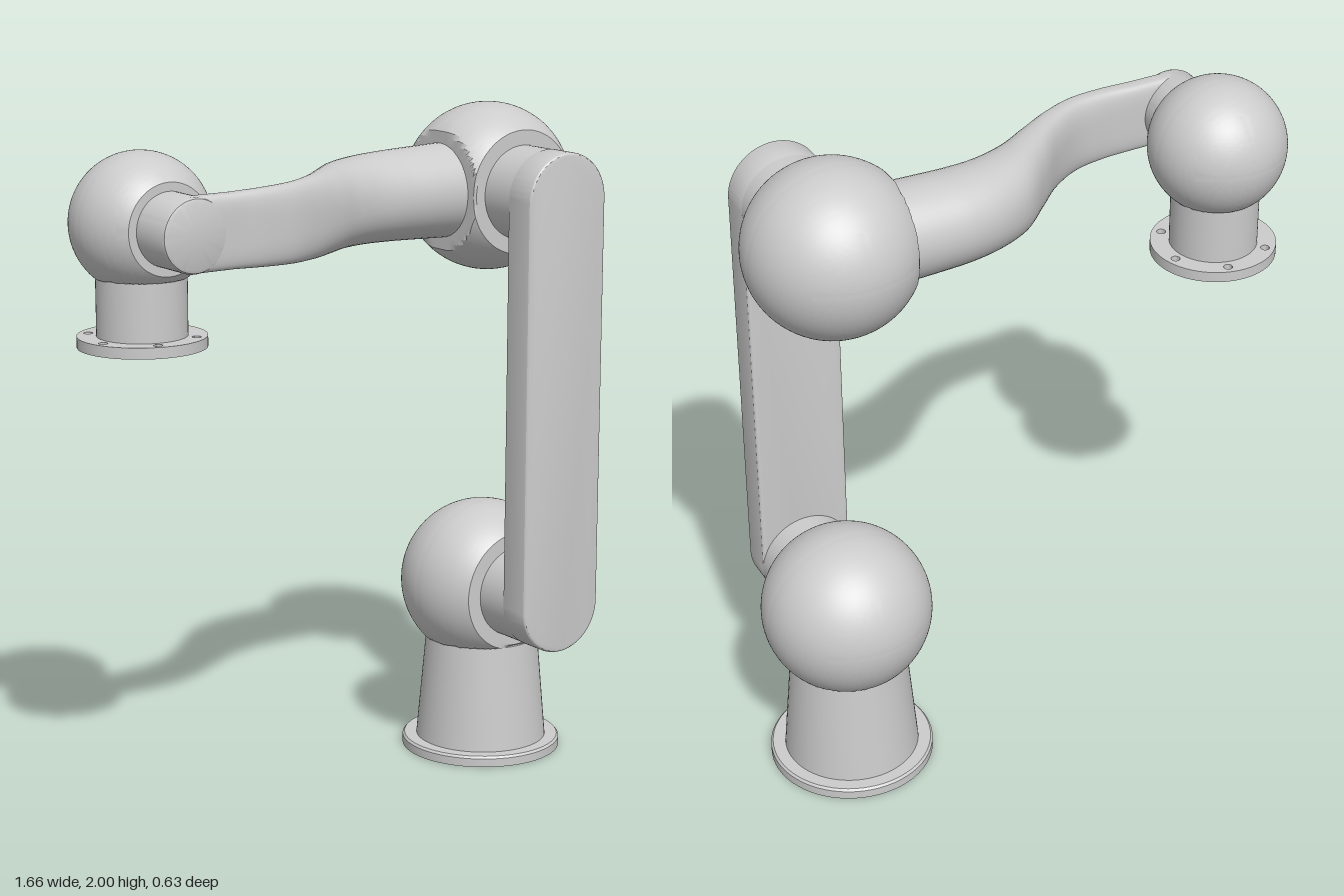
import * as THREE from 'three';
import { toCreasedNormals } from 'three/addons/utils/BufferGeometryUtils.js';

const material = new THREE.MeshStandardMaterial({ color: 0xcccccc });
const X = 0.575, WRIST_X = -0.632, Z = -0.066;
const SHOULDER_Y = 0.53, ELBOW_Y = 1.75;

function part(parent, name, geometry, x = 0, y = 0, z = 0) {
  const mesh = new THREE.Mesh(geometry, material);
  mesh.name = name;
  mesh.position.set(x, y, z);
  parent.add(mesh);
  return mesh;
}

// Turned part about y from [radius, height] pairs, listed from the bottom up
function turned(points, segments = 64) {
  const profile = points.map(([r, y]) => new THREE.Vector2(r, y));
  return toCreasedNormals(new THREE.LatheGeometry(profile, segments), 0.6);
}

// Ball joint cut flat on the given sides; its pole lies on +z so the front rim is crisp
function cutBall(radius, rings, cuts) {
  const geometry = new THREE.SphereGeometry(radius, 96, rings).rotateX(Math.PI / 2);
  const pos = geometry.attributes.position, p = new THREE.Vector3();
  for (let i = 0; i < pos.count; i++) {
    p.fromBufferAttribute(pos, i);
    for (const [normal, distance] of cuts) {
      const d = p.dot(normal);
      if (d > distance) p.multiplyScalar(distance / d);
    }
    pos.setXYZ(i, p.x, p.y, p.z);
  }
  return toCreasedNormals(geometry, 0.3);
}

// Upright link: a rounded-end bar with softened edges
function linkBar() {
  const r = 0.13, half = (ELBOW_Y - SHOULDER_Y) / 2;
  const shape = new THREE.Shape();
  shape.absarc(0, half, r, 0, Math.PI, false);
  shape.absarc(0, -half, r, Math.PI, 2 * Math.PI, false);
  shape.closePath();
  const geometry = new THREE.ExtrudeGeometry(shape, {
    depth: 0.085, bevelThickness: 0.01, bevelSize: 0.01, bevelSegments: 3, curveSegments: 32,
  });
  return toCreasedNormals(geometry, 0.5);
}

// Forearm: cross-sections along x, round at the elbow and flat at the wrist
function forearm() {
  // x, back z, front z
  const stations = [
    [0.45, -0.21, 0.07], [0.3, -0.21, 0.068], [0.2, -0.204, 0.066], [0.1, -0.18, 0.072],
    [0, -0.13, 0.1], [-0.1, -0.032, 0.147], [-0.2, 0.07, 0.19], [-0.3, 0.135, 0.22],
    [-0.4, 0.157, 0.228], [-0.5, 0.16, 0.226], [WRIST_X, 0.16, 0.226],
  ];
  const curve = new THREE.CatmullRomCurve3(stations.map((s) => new THREE.Vector3(...s)));
  const rows = 80, cols = 48, positions = [], index = [];
  const power = (v, e) => Math.sign(v) * Math.abs(v) ** e;
  for (let i = 0; i <= rows; i++) {
    const s = curve.getPoint(i / rows);
    const t = THREE.MathUtils.clamp((0.4 - s.x) / 0.9, 0, 1);
    const halfY = THREE.MathUtils.lerp(0.14, 0.105, t);
    const e = THREE.MathUtils.lerp(1, 0.5, t * t);
    for (let j = 0; j < cols; j++) {
      const a = (j / cols) * 2 * Math.PI;
      positions.push(s.x, ELBOW_Y + halfY * power(Math.cos(a), e),
        (s.y + s.z) / 2 + ((s.z - s.y) / 2) * power(Math.sin(a), e));
      if (i === rows) continue;
      const p = i * cols + j, q = i * cols + ((j + 1) % cols);
      index.push(p, p + cols, q, p + cols, q + cols, q);
    }
  }
  const geometry = new THREE.BufferGeometry();
  geometry.setAttribute('position', new THREE.Float32BufferAttribute(positions, 3));
  geometry.setIndex(index);
  geometry.computeVertexNormals();
  return geometry;
}

// Tool flange: a thin disc with a ring of bolt holes
function boltFlange(radius, height) {
  const shape = new THREE.Shape().absarc(0, 0, radius, 0, 2 * Math.PI, false);
  for (let i = 0; i < 6; i++) {
    const a = (i / 6) * 2 * Math.PI + Math.PI / 12;
    shape.holes.push(new THREE.Path().absarc(
      Math.cos(a) * 0.155, Math.sin(a) * 0.155, 0.013, 0, 2 * Math.PI, true));
  }
  const geometry = new THREE.ExtrudeGeometry(shape, {
    depth: height, bevelEnabled: false, curveSegments: 32,
  }).rotateX(-Math.PI / 2);
  return toCreasedNormals(geometry, 0.5);
}

export function createModel() {
  const model = new THREE.Group();
  model.name = 'robotArm';
  const front = new THREE.Vector3(0, 0, 1);
  const down = new THREE.Vector3(0, -1, 0);
  const right = new THREE.Vector3(-1, 0, 0);

  // Base with foot flange and tapered pedestal
  part(model, 'base', turned([
    [0, 0], [0.243, 0], [0.243, 0.026], [0.237, 0.033], [0.2, 0.033], [0.172, 0.355], [0, 0.355],
  ]), X, 0, Z);

  // Shoulder and elbow balls
  part(model, 'shoulderBall', cutBall(0.25, 84, [[front, 0.17], [down, 0.175]]), X, SHOULDER_Y, Z);
  part(model, 'elbowBall', cutBall(0.25, 84, [[front, 0.17], [right, 0.175]]), X, ELBOW_Y, Z);

  // Short necks that carry the upright link
  for (const [name, y] of [['shoulderNeck', SHOULDER_Y], ['elbowNeck', ELBOW_Y]]) {
    const neck = new THREE.CylinderGeometry(0.139, 0.139, 0.15, 64).rotateX(Math.PI / 2);
    part(model, name, neck, X, y, 0.165);
  }
  part(model, 'uprightLink', linkBar(), X, (SHOULDER_Y + ELBOW_Y) / 2, 0.222);

  part(model, 'forearm', forearm());

  // Wrist ball and the rounded neck that closes the forearm end
  part(model, 'wristBall', cutBall(0.2, 80, [[front, 0.152], [down, 0.15]]), WRIST_X, ELBOW_Y, Z);
  part(model, 'wristNeck', turned([
    [0.105, 0.07], [0.105, 0.212], [0.101, 0.222], [0.091, 0.226], [0, 0.226],
  ]).rotateX(Math.PI / 2), WRIST_X, ELBOW_Y, 0);

  // Tool mount below the wrist
  part(model, 'toolNeck', new THREE.CylinderGeometry(0.128, 0.128, 0.18, 64), WRIST_X, 1.515, Z);
  part(model, 'toolFlange', boltFlange(0.183, 0.032), WRIST_X, 1.402, Z);
  return model;
}
